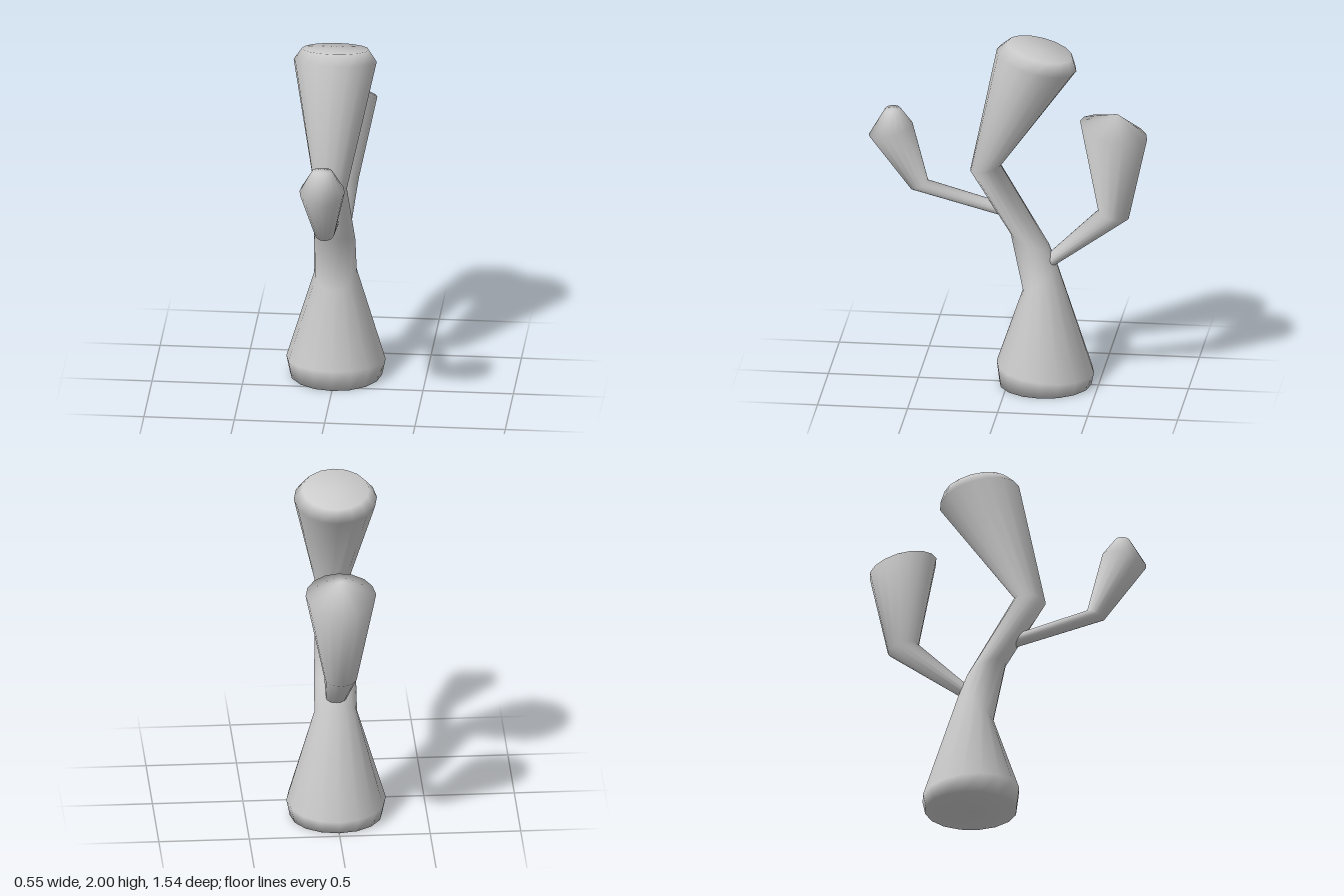
import * as THREE from 'three';

const SIDES = 16;
const material = new THREE.MeshStandardMaterial({ color: 0xcccccc });

// Lofts a closed limb through tilted elliptical rings.
// Each ring: [front z, front y, back z, back y, half width in x]
function limb(name, rings, tip) {
  const pos = [], index = [];
  for (const [fz, fy, bz, by, w] of rings) {
    const cz = (fz + bz) / 2, cy = (fy + by) / 2;
    for (let j = 0; j < SIDES; j++) {
      const a = (j / SIDES) * Math.PI * 2;
      pos.push(w * Math.sin(a), cy + (fy - cy) * Math.cos(a), cz + (fz - cz) * Math.cos(a));
    }
  }
  // Walls between neighbouring rings
  for (let i = 0; i < rings.length - 1; i++) {
    for (let j = 0; j < SIDES; j++) {
      const k = (j + 1) % SIDES;
      const a = i * SIDES + j, b = i * SIDES + k;
      index.push(a, b, b + SIDES, a, b + SIDES, a + SIDES);
    }
  }
  // End caps fan out from a centre point; the end one may be a raised tip
  const mid = ([fz, fy, bz, by]) => [0, (fy + by) / 2, (fz + bz) / 2];
  const start = pos.length / 3, end = start + 1;
  const last = (rings.length - 1) * SIDES;
  pos.push(...mid(rings[0]), ...(tip ?? mid(rings[rings.length - 1])));
  for (let j = 0; j < SIDES; j++) {
    const k = (j + 1) % SIDES;
    index.push(start, k, j, end, last + j, last + k);
  }
  const geometry = new THREE.BufferGeometry();
  geometry.setAttribute('position', new THREE.Float32BufferAttribute(pos, 3));
  geometry.setIndex(index);
  geometry.computeVertexNormals();
  const mesh = new THREE.Mesh(geometry, material);
  mesh.name = name;
  return mesh;
}

export function createModel() {
  const group = new THREE.Group();
  group.name = 'branchingTrunk';

  // Main trunk: flared foot, bent waist, widening crown
  group.add(limb('trunk', [
    [0.05, 0, -0.46, 0, 0.255],
    [0.065, 0.12, -0.475, 0.07, 0.275],
    [-0.08, 0.545, -0.276, 0.684, 0.118],
    [-0.01, 0.886, -0.228, 0.80, 0.115],
    [0.212, 1.236, 0.042, 1.268, 0.09],
    [0.064, 1.952, -0.377, 1.84, 0.23],
    [0.005, 2.0, -0.355, 1.915, 0.185],
  ]));

  // Small front branch with a rounded bulb
  group.add(limb('frontBranch', [
    [-0.04, 0.955, -0.03, 1.03, 0.035],
    [0.54, 1.11, 0.445, 1.16, 0.055],
    [0.775, 1.42, 0.53, 1.485, 0.125],
    [0.685, 1.575, 0.6, 1.575, 0.055],
  ]));

  // Larger rear branch with a low conical top
  group.add(limb('rearBranch', [
    [-0.14, 0.68, -0.17, 0.635, 0.05],
    [-0.498, 1.03, -0.668, 0.987, 0.092],
    [-0.398, 1.55, -0.77, 1.455, 0.195],
  ], [0, 1.597, -0.605]));

  return group;
}
